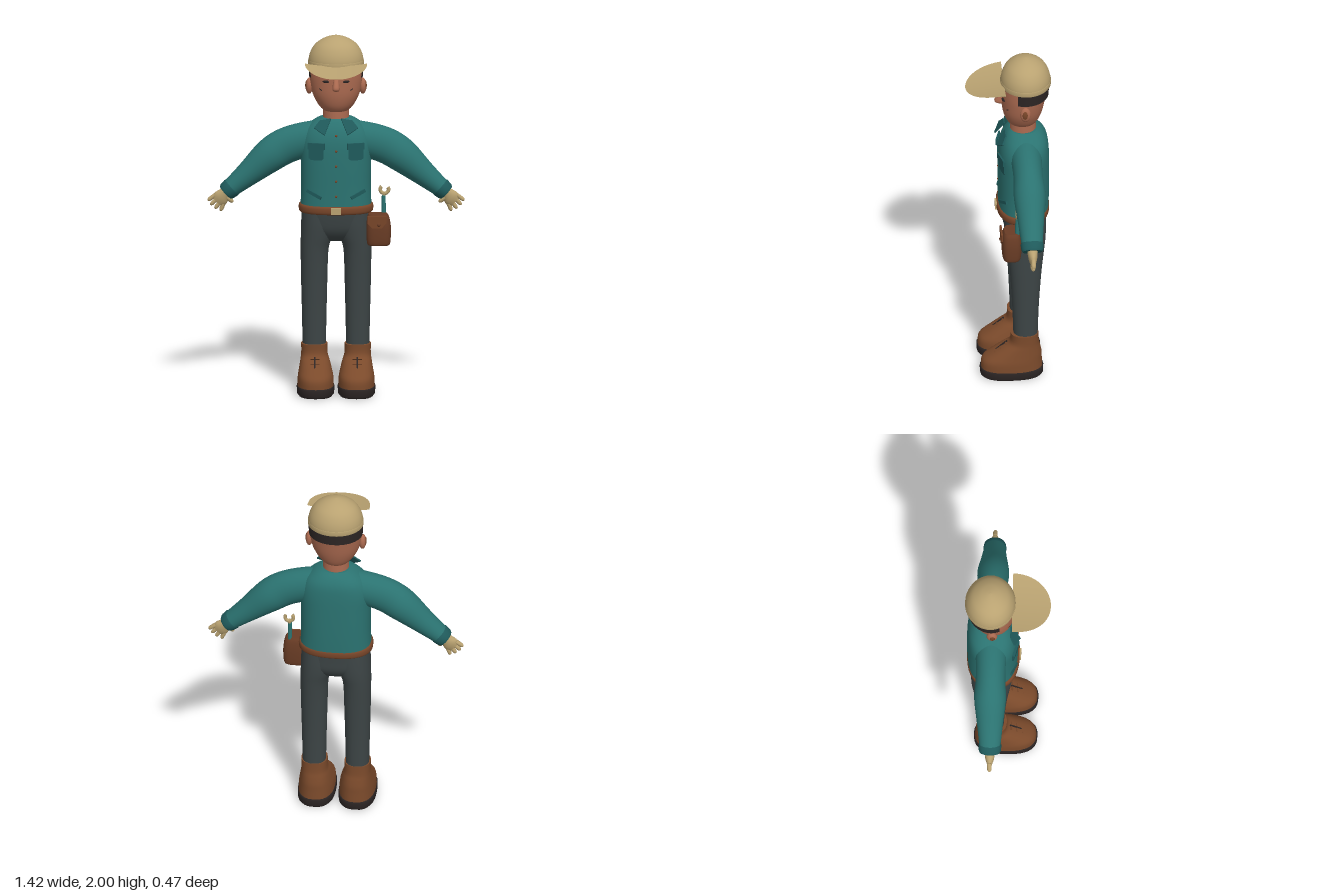
import * as THREE from 'three';

const mat = (name, color, side = THREE.FrontSide) => {
  const m = new THREE.MeshStandardMaterial({ color, side });
  m.name = name;
  return m;
};

// Catmull-Rom through rows of numbers
function smoothRows(rows, steps) {
  if (steps < 2) return rows;
  const out = [];
  const spline = (a, b, c, d, t) =>
    b + 0.5 * t * (c - a + t * (2 * a - 5 * b + 4 * c - d + t * (3 * (b - c) + d - a)));
  for (let i = 0; i < rows.length - 1; i++) {
    const a = rows[Math.max(i - 1, 0)], b = rows[i], c = rows[i + 1], d = rows[Math.min(i + 2, rows.length - 1)];
    for (let k = 0; k < steps; k++) out.push(b.map((v, j) => spline(a[j], v, c[j], d[j], k / steps)));
  }
  out.push(rows[rows.length - 1]);
  return out;
}

// Closed skin over rings [x, y, z, radius, radiusZ, heading in degrees]; heading 90 runs straight up
function loft(rows, { steps = 4, n = 28, power = 2 } = {}) {
  const rings = smoothRows(rows, steps), pos = [], idx = [];
  const se = v => Math.sign(v) * Math.pow(Math.abs(v), 2 / power);
  const ring = ([x, y, z, r, rz, heading]) => {
    const a = (heading - 90) * Math.PI / 180;
    for (let j = 0; j < n; j++) {
      const t = j / n * Math.PI * 2, u = r * se(Math.cos(t));
      pos.push(x + u * Math.cos(a), y + u * Math.sin(a), z + rz * se(Math.sin(t)));
    }
  };
  rings.forEach(ring);
  for (let i = 0; i < rings.length - 1; i++) for (let j = 0; j < n; j++) {
    const a = i * n + j, b = i * n + (j + 1) % n;
    idx.push(a, a + n, b, b, a + n, b + n);
  }
  [rings[0], rings[rings.length - 1]].forEach((r, end) => {
    const base = pos.length / 3;
    ring(r);
    pos.push(r[0], r[1], r[2]);
    for (let j = 0; j < n; j++) {
      const p = base + j, q = base + (j + 1) % n;
      idx.push(base + n, end ? q : p, end ? p : q);
    }
  });
  const g = new THREE.BufferGeometry();
  g.setAttribute('position', new THREE.Float32BufferAttribute(pos, 3));
  g.setIndex(idx);
  g.computeVertexNormals();
  return g;
}
// Upright loft from rows [y, x, z, radiusX, radiusZ]
const tower = (rows, opt) => loft(rows.map(([y, x, z, rx, rz]) => [x, y, z, rx, rz, 90]), opt);
// Tapered rounded finger running along a heading
function finger(x, y, z, heading, length, r) {
  const c = Math.cos(heading * Math.PI / 180), s = Math.sin(heading * Math.PI / 180);
  return loft([[0, 1], [0.75, 0.9], [0.93, 0.6], [1, 0.15]].map(([t, k]) =>
    [x + c * length * t, y + s * length * t, z, r * k, r * k * 1.1, heading]), { steps: 1, n: 10 });
}
const place = (g, x, y, z, rx = 0, ry = 0, rz = 0) => g.applyMatrix4(new THREE.Matrix4().compose(
  new THREE.Vector3(x, y, z), new THREE.Quaternion().setFromEuler(new THREE.Euler(rx, ry, rz, 'YXZ')), new THREE.Vector3(1, 1, 1)));
const ball = (x, y, z, a, b, c, ry = 0) => place(new THREE.SphereGeometry(1, 16, 12).scale(a, b, c), x, y, z, 0, ry);
const plate = (points, depth) => new THREE.ExtrudeGeometry(
  new THREE.Shape(points.map(p => new THREE.Vector2(...p))), { depth, bevelEnabled: false });

// Copy on the other side of x = 0, with the corner order put right
function mirrored(g) {
  const m = g.index ? g.toNonIndexed() : g.clone();
  m.scale(-1, 1, 1);
  const idx = [];
  for (let i = 0; i < m.attributes.position.count; i += 3) idx.push(i, i + 2, i + 1);
  m.setIndex(idx);
  return m;
}

export function createModel() {
  const root = new THREE.Group();
  root.name = 'worker';
  const shirt = mat('shirt teal', 0x2b7371), trim = mat('dark teal', 0x1f5a5b), cloth = mat('trouser grey', 0x3d4546);
  const boot = mat('boot brown', 0x7b4a2b), dark = mat('charcoal', 0x2c2524), skin = mat('skin', 0xab6a50);
  const khaki = mat('khaki', 0xb9a271, THREE.DoubleSide), leather = mat('belt brown', 0x774529), pouchMat = mat('pouch brown', 0x693c25);
  const add = (name, g, m) => {
    const mesh = new THREE.Mesh(g, m);
    mesh.name = name;
    root.add(mesh);
  };
  const pair = (name, g, m) => {
    add(name + 'Left', g, m);
    add(name + 'Right', mirrored(g), m);
  };

  // Boots
  pair('sole', tower([[0, .113, -.01, .094, .164], [.012, .113, -.01, .103, .174], [.045, .113, -.01, .104, .176], [.052, .113, -.01, .1, .172]],
    { steps: 1, power: 2.6 }), dark);
  pair('boot', tower([[.05, .113, -.01, .1, .17], [.1, .113, -.012, .098, .165], [.14, .114, -.035, .09, .14], [.18, .116, -.06, .081, .107],
    [.215, .119, -.079, .073, .08], [.272, .12, -.08, .072, .077]], { power: 2.4 }), boot);
  pair('bootSlit', place(new THREE.BoxGeometry(.007, .1, .008), .117, .175, .053, -.86), dark);
  for (let i = 0; i < 3; i++)
    pair('lace' + i, place(new THREE.BoxGeometry(.05, .007, .007), .117, .2 - i * .025, .023 + i * .03, -.86), boot);

  // Trousers
  pair('trouserLeg', tower([[.25, .12, -.087, .064, .067], [.45, .12, -.087, .068, .074], [.65, .12, -.088, .073, .086], [.8, .118, -.089, .077, .1],
    [.88, .106, -.089, .088, .11], [.95, .098, -.087, .094, .115], [1.03, .095, -.085, .095, .115]], { power: 2.2 }), cloth);
  add('hips', tower([[.85, 0, -.09, .09, .05], [.875, 0, -.09, .14, .085], [.92, 0, -.088, .186, .112], [.98, 0, -.084, .191, .122],
    [1.04, 0, -.082, .192, .128]], { power: 2.4, n: 40 }), cloth);

  // Shirt, sleeves and cuffs
  add('shirtBody', tower([[1.03, 0, -.083, .197, .138], [1.15, 0, -.085, .192, .14], [1.3, 0, -.085, .194, .141], [1.41, 0, -.086, .196, .138],
    [1.48, 0, -.09, .17, .125], [1.525, 0, -.09, .12, .1], [1.545, 0, -.085, .08, .076]], { power: 2.4, n: 44 }), shirt);
  pair('sleeve', loft([[.08, 1.425, -.09, .1, .09, -8], [.19, 1.407, -.09, .1, .083, -18], [.285, 1.375, -.09, .1, .082, -28],
    [.37, 1.32, -.09, .094, .088, -38], [.48, 1.225, -.088, .07, .072, -43], [.605, 1.12, -.086, .047, .055, -43]]), shirt);
  pair('cuff', loft([[.57, 1.15, -.086, .05, .058, -43], [.577, 1.144, -.086, .056, .064, -43], [.601, 1.123, -.086, .052, .061, -43],
    [.609, 1.116, -.086, .046, .055, -43]], { steps: 1 }), trim);

  // Collar, pockets and buttons
  pair('collar', place(plate([[-.045, .05], [-.015, -.05], [.046, -.008], [.017, .037]], .009), .075, 1.508, .036, -.58, .12), trim);
  pair('chestPocket', place(plate([[-.042, .03], [.042, .03], [.042, -.045], [.03, -.055], [-.03, -.055], [-.042, -.045]], .009), .108, 1.378, .036, 0, .26), trim);
  pair('pocketFlap', place(plate([[-.048, .022], [.048, .022], [.048, -.013], [0, -.024], [-.048, -.013]], .009), .108, 1.398, .044, 0, .26), trim);
  pair('sidePocket', place(new THREE.BoxGeometry(.092, .018, .01), .122, 1.13, .036, 0, .38, .43), trim);
  for (let i = 0; i < 5; i++) add('button' + i, ball(0, 1.46 - i * .085, i ? .055 : .044, .007, .007, .005), leather);

  // Belt and buckle
  add('belt', tower([[1.016, 0, -.08, .197, .137], [1.023, 0, -.08, .204, .144], [1.04, 0, -.08, .206, .146], [1.055, 0, -.08, .204, .144],
    [1.062, 0, -.08, .197, .137]], { steps: 2, power: 2.4, n: 44 }), leather);
  add('buckle', place(new THREE.BoxGeometry(.056, .038, .01), 0, 1.039, .068), khaki);

  // Tool pouch with flap
  add('pouch', tower([[.838, .235, 0, .05, .035], [.85, .235, 0, .064, .05], [.93, .235, 0, .068, .055], [.99, .233, 0, .062, .05],
    [1.015, .23, 0, .052, .04]], { power: 3 }), pouchMat);
  add('pouchFlap', place(plate([[-.052, .036], [.052, .036], [.052, -.005], [.025, -.034], [-.025, -.034], [-.052, -.005]], .01), .225, .975, .05), leather);
  add('pouchStud', ball(.235, .962, .062, .01, .01, .006), pouchMat);

  // Wrench in the pouch
  add('wrenchHandle', place(new THREE.CylinderGeometry(.011, .013, .15, 14), .263, 1.035, -.03), shirt);
  add('wrenchNeck', place(new THREE.CylinderGeometry(.009, .009, .03, 12), .265, 1.115, -.03), khaki);
  add('wrenchJaw', place(new THREE.TorusGeometry(.023, .01, 10, 20, 4.4), .267, 1.145, -.03, 0, 0, Math.PI / 2 + .8), khaki);

  // Gloved hands
  pair('palm', loft([[.59, 1.133, -.086, .03, .032, -43], [.615, 1.108, -.086, .036, .028, -44], [.638, 1.083, -.086, .045, .023, -45],
    [.657, 1.063, -.086, .034, .014, -45]]), khaki);
  [[.034, -36, .05], [.012, -44, .056], [-.011, -54, .054], [-.033, -68, .044]].forEach(([o, heading, len], i) =>
    pair('finger' + i, finger(.644 + .7 * o, 1.076 + .71 * o, -.086, heading, len, .0125), khaki));
  pair('thumb', finger(.612, 1.1, -.078, -140, .058, .014), khaki);

  // Neck and head
  add('neck', place(new THREE.CylinderGeometry(.07, .074, .12, 28), 0, 1.555, -.082), skin);
  add('head', tower([[1.577, 0, -.08, .055, .06], [1.592, 0, -.079, .078, .078], [1.625, 0, -.078, .104, .097], [1.68, 0, -.08, .13, .113],
    [1.75, 0, -.085, .144, .122], [1.8, 0, -.089, .147, .127], [1.86, 0, -.092, .146, .128]], { n: 40 }), skin);
  pair('ear', ball(.148, 1.717, -.085, .02, .045, .03), skin);
  pair('innerEar', ball(.162, 1.72, -.083, .008, .026, .016), leather);
  add('nose', tower([[1.713, 0, .04, .015, .024], [1.722, 0, .042, .021, .034], [1.74, 0, .04, .019, .032], [1.775, 0, .03, .014, .015]],
    { steps: 2, n: 14, power: 2.6 }), skin);
  pair('eye', ball(.056, 1.763, .031, .019, .008, .006, .35), dark);
  pair('cheekMark', place(new THREE.BoxGeometry(.018, .005, .006), .085, 1.715, .009, 0, .6, .5), dark);
  add('hair', place(new THREE.CylinderGeometry(1, .98, .08, 32, 1, false, 1.2, Math.PI * 2 - 2.4).scale(.152, 1, .135), 0, 1.81, -.092), dark);

  // Cap: dome, band and curved brim
  add('capDome', tower([[1.84, 0, -.097, .15, .136], [1.87, 0, -.097, .151, .137], [1.91, 0, -.097, .14, .127], [1.95, 0, -.097, .114, .104],
    [1.98, 0, -.097, .072, .066], [1.995, 0, -.097, .032, .029], [2, 0, -.097, .004, .004]], { n: 40 }), khaki);
  add('capBand', tower([[1.832, 0, -.097, .15, .136], [1.836, 0, -.097, .154, .14], [1.86, 0, -.097, .154, .14], [1.864, 0, -.097, .15, .136]],
    { steps: 1, n: 40 }), khaki);
  [0, -.008].forEach((drop, k) => {
    const brim = new THREE.PlaneGeometry(2, 1, 28, 8), p = brim.attributes.position;
    for (let i = 0; i < p.count; i++) {
      const a = p.getX(i) * Math.PI / 2, t = .5 - p.getY(i);
      const x = .172 * Math.sin(a), z = .025 + t * (.208 * Math.pow(Math.max(Math.cos(a), 0), .9) + .004);
      p.setXYZ(i, x, 1.848 - .15 * (z - .03) + .55 * x * x + drop * (1 - t), z);
    }
    brim.computeVertexNormals();
    add(k ? 'brimUnderside' : 'brimTop', brim, khaki);
  });
  return root;
}
